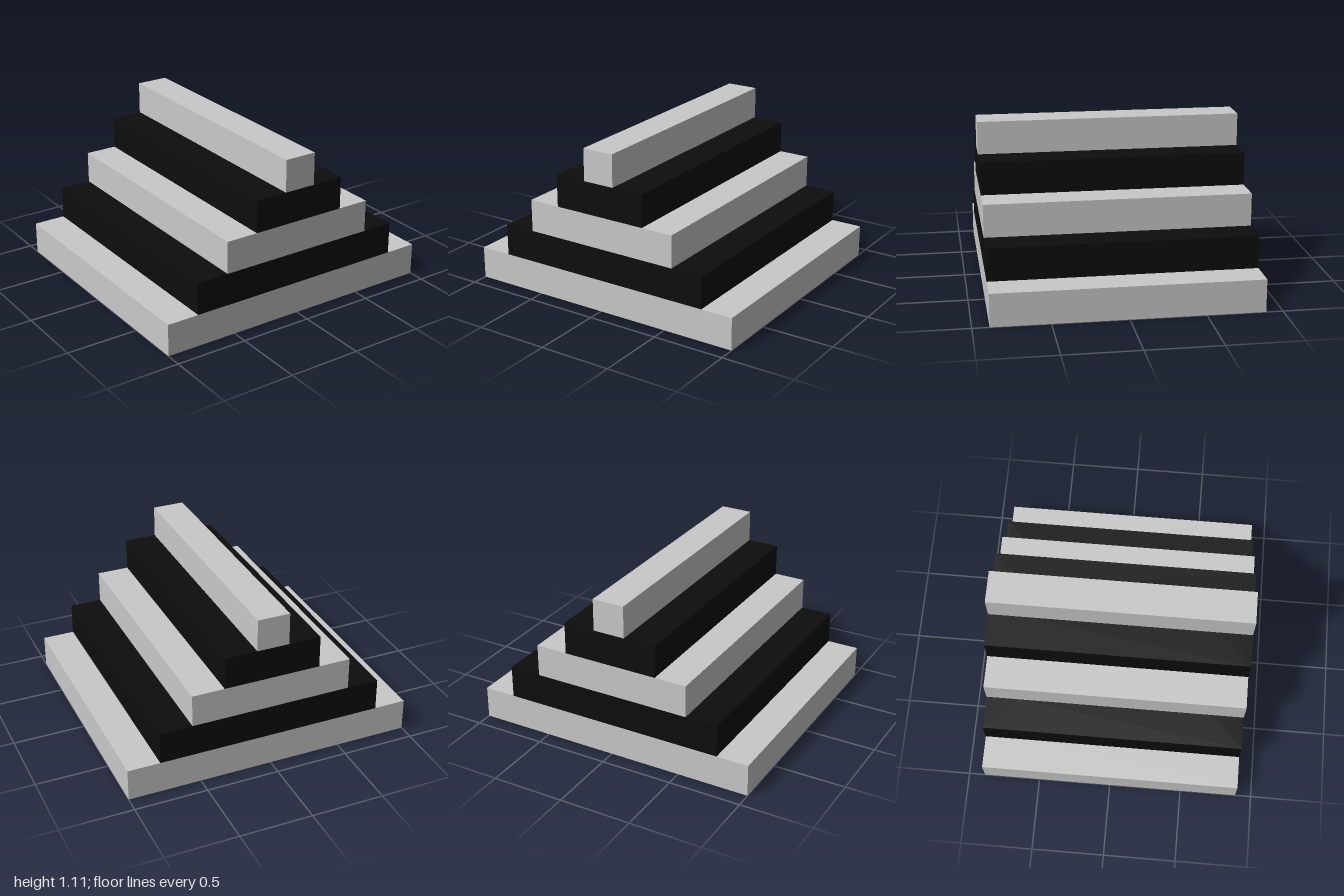
import * as THREE from 'three';

const U = 2 / 9;      // one step: wall thickness and layer height
const DEPTH = 8 * U;  // every layer runs the full depth

export function createModel() {
  const group = new THREE.Group();
  const lightGrey = new THREE.MeshStandardMaterial({ color: 0xc9c9c9 });
  const black = new THREE.MeshStandardMaterial({ color: 0x0d0d0d });

  const rect = (Type, w, d) => new Type([
    new THREE.Vector2(-w / 2, -d / 2), new THREE.Vector2(w / 2, -d / 2),
    new THREE.Vector2(w / 2, d / 2), new THREE.Vector2(-w / 2, d / 2),
  ]);

  // Four hollow rectangular frames, each two steps narrower than the one below
  for (let i = 0; i < 4; i++) {
    const width = (9 - 2 * i) * U;
    const shape = rect(THREE.Shape, width, DEPTH);
    shape.holes.push(rect(THREE.Path, width - 2 * U, DEPTH - 2 * U));
    const geometry = new THREE.ExtrudeGeometry(shape, { depth: U, bevelEnabled: false });
    geometry.rotateX(-Math.PI / 2);
    const frame = new THREE.Mesh(geometry, i % 2 ? black : lightGrey);
    frame.name = `roofStep${i + 1}`;
    frame.position.y = i * U;
    group.add(frame);
  }

  // Solid beam closing the top
  const ridge = new THREE.Mesh(new THREE.BoxGeometry(U, U, DEPTH), lightGrey);
  ridge.name = 'ridgeBeam';
  ridge.position.y = 4.5 * U;
  group.add(ridge);

  return group;
}
